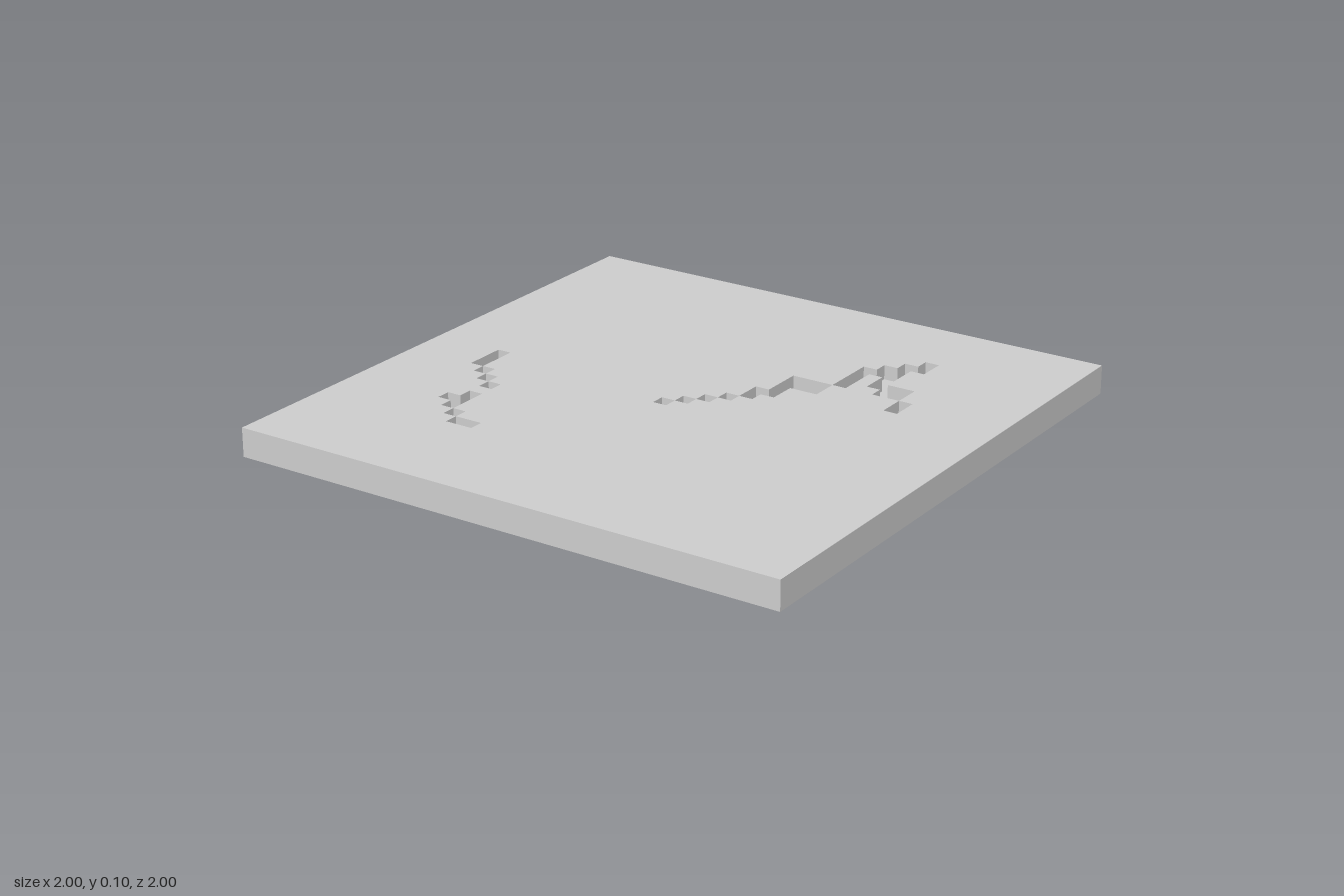
import * as THREE from 'three';

const CELL = 0.05;   // grid step of the blocky cracks
const HALF = 20;     // slab reaches from -HALF to HALF cells
const TOP = 0.1;     // slab height
const FLOOR = 0.05;  // height of the crack floors

// Recessed cells as rectangles [x0, z0, x1, z1], in grid steps
const CRACKS = [
  // long branching crack
  [10, -14, 11, -12], [9, -13, 10, -9], [8, -12, 9, -10], [7, -11, 8, -7],
  [9, -9, 12, -8], [10, -8, 12, -7], [12, -7, 13, -5],
  [4, -7, 7, -5], [4, -5, 5, -3], [3, -4, 4, -2],
  [2, -2, 3, -1], [1, -1, 2, 0], [0, 0, 1, 1], [-1, 1, 0, 2],
  // two short cracks
  [-15, 0, -14, 3], [-14, 3, -13, 4], [-13, 4, -12, 5], [-12, 5, -11, 6],
  [-12, 7, -11, 10], [-13, 8, -12, 9], [-11, 10, -10, 11], [-10, 11, -8, 12],
];

// Height of the surface over a grid cell, zero outside the slab
function heightAt(i, j) {
  if (i < -HALF || i >= HALF || j < -HALF || j >= HALF) return 0;
  const recessed = CRACKS.some(([x0, z0, x1, z1]) => i >= x0 && i < x1 && j >= z0 && j < z1);
  return recessed ? FLOOR : TOP;
}

function slabGeometry() {
  const positions = [];
  const quad = (a, b, c, d) => positions.push(...a, ...b, ...c, ...a, ...c, ...d);

  for (let i = -HALF - 1; i < HALF; i++) {
    for (let j = -HALF - 1; j < HALF; j++) {
      const x0 = i * CELL, x1 = (i + 1) * CELL;
      const z0 = j * CELL, z1 = (j + 1) * CELL;
      const y = heightAt(i, j);
      const yx = heightAt(i + 1, j), yz = heightAt(i, j + 1);
      // upward face
      if (y > 0) quad([x0, y, z1], [x1, y, z1], [x1, y, z0], [x0, y, z0]);
      // walls towards the next cells; a rising step flips the facing by itself
      if (y !== yx) quad([x1, yx, z1], [x1, yx, z0], [x1, y, z0], [x1, y, z1]);
      if (y !== yz) quad([x0, yz, z1], [x1, yz, z1], [x1, y, z1], [x0, y, z1]);
    }
  }
  // underside
  quad([-1, 0, -1], [1, 0, -1], [1, 0, 1], [-1, 0, 1]);

  const geometry = new THREE.BufferGeometry();
  geometry.setAttribute('position', new THREE.Float32BufferAttribute(positions, 3));
  geometry.computeVertexNormals();
  return geometry;
}

export function createModel() {
  const group = new THREE.Group();
  group.name = 'crackedFloorTile';
  const material = new THREE.MeshStandardMaterial({ color: 0xcccccc, flatShading: true });
  const slab = new THREE.Mesh(slabGeometry(), material);
  slab.name = 'crackedSlab';
  group.add(slab);
  return group;
}
